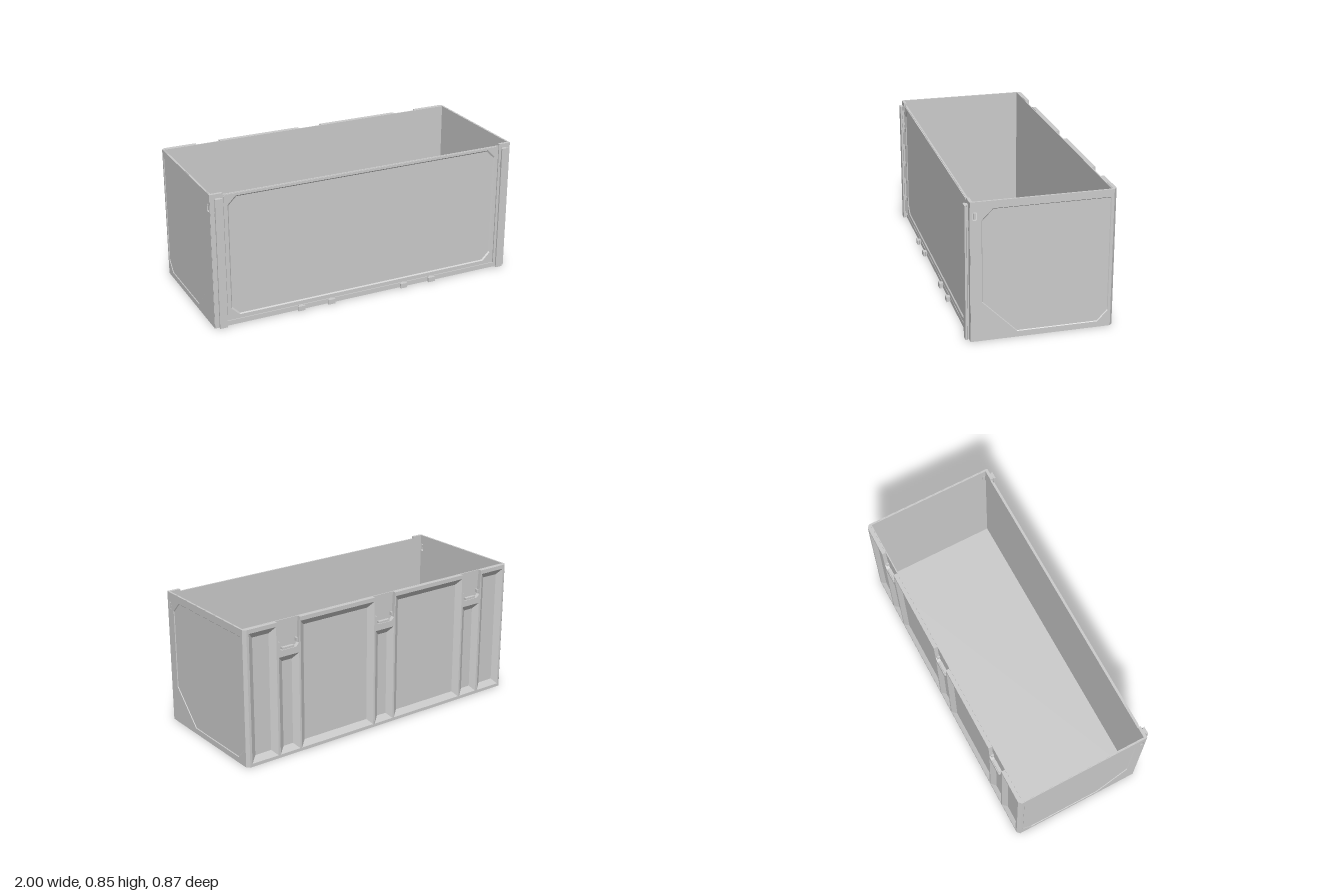
import * as THREE from 'three';

const H = 0.845;
const mat = new THREE.MeshStandardMaterial({ color: 0xcccccc, flatShading: true });
const v2 = (p) => p.map(([x, y]) => new THREE.Vector2(x, y));

function add(parent, name, geometry, x = 0, y = 0, z = 0) {
  const mesh = new THREE.Mesh(geometry, mat);
  mesh.name = name;
  mesh.position.set(x, y, z);
  parent.add(mesh);
  return mesh;
}

// Box given by its limits
function slab(parent, name, x0, x1, y0, y1, z0, z1) {
  return add(parent, name, new THREE.BoxGeometry(x1 - x0, y1 - y0, z1 - z0),
    (x0 + x1) / 2, (y0 + y1) / 2, (z0 + z1) / 2);
}

// Rectangle with its corners cut by c
function cutRect(x0, x1, y0, y1, c = 0) {
  if (!c) return [[x0, y0], [x1, y0], [x1, y1], [x0, y1]];
  return [[x0 + c, y0], [x1 - c, y0], [x1, y0 + c], [x1, y1 - c],
    [x1 - c, y1], [x0 + c, y1], [x0, y1 - c], [x0, y0 + c]];
}

// Sunken panel: sloping rim from the outline down to a flat floor
function pan(outline, bevel, depth) {
  let pts = v2(outline);
  if (THREE.ShapeUtils.isClockWise(pts)) pts = pts.reverse();
  const box = new THREE.Box2().setFromPoints(pts);
  const c = box.getCenter(new THREE.Vector2());
  const s = box.getSize(new THREE.Vector2());
  const inner = pts.map((p) => new THREE.Vector2(
    c.x + (p.x - c.x) * (1 - 2 * bevel / s.x), c.y + (p.y - c.y) * (1 - 2 * bevel / s.y)));
  const pos = [];
  pts.forEach((a, i) => {
    const j = (i + 1) % pts.length, b = pts[j], p = inner[i], q = inner[j];
    pos.push(a.x, a.y, 0, b.x, b.y, 0, q.x, q.y, -depth);
    pos.push(a.x, a.y, 0, q.x, q.y, -depth, p.x, p.y, -depth);
  });
  for (const [i, j, k] of THREE.ShapeUtils.triangulateShape(inner, [])) {
    for (const n of [i, j, k]) pos.push(inner[n].x, inner[n].y, -depth);
  }
  const g = new THREE.BufferGeometry();
  g.setAttribute('position', new THREE.Float32BufferAttribute(pos, 3));
  g.computeVertexNormals();
  return g;
}

// Wall with its outer face on local z = 0: pierced skin, backing sheet and sunken panels
function wall(name, outline, pans, { bevel, depth, thick, backing = outline, slots = [] }) {
  const group = new THREE.Group();
  group.name = name;
  const layer = (label, contour, holes, t, z) => {
    const shape = new THREE.Shape(v2(contour));
    shape.holes = holes.map((h) => new THREE.Path(v2(h)));
    add(group, label, new THREE.ExtrudeGeometry(shape, { depth: t, bevelEnabled: false }), 0, 0, z);
  };
  layer('outerSkin', outline, [...pans, ...slots], depth, -depth);
  layer('backing', backing, slots, thick - depth - 0.0005, -thick);
  pans.forEach((p) => add(group, 'sunkenPanel', pan(p, bevel, depth)));
  return group;
}

// Upright bar, wider on its outer side
function dovetail(parent, name, x, height) {
  const shape = new THREE.Shape(v2([[-0.014, -0.408], [-0.014, -0.42], [-0.023, -0.424],
    [-0.023, -0.435], [0.023, -0.435], [0.023, -0.424], [0.014, -0.42], [0.014, -0.408]]));
  const g = new THREE.ExtrudeGeometry(shape, { depth: height, bevelEnabled: false });
  g.rotateX(-Math.PI / 2);
  return add(parent, name, g, x, 0.003, 0);
}

function createModel() {
  const model = new THREE.Group();
  model.name = 'openContainer';
  slab(model, 'floor', -0.99, 0.99, 0, 0.02, -0.425, 0.405);

  // Side walls with an outlined panel and a hand slot
  for (const s of [1, -1]) {
    const flip = (pts) => pts.map(([z, y]) => [-s * z, y]);
    const panel = flip([[0.28, 0.8], [-0.402, 0.8], [-0.402, 0.1], [-0.34, 0.035],
      [0.14, 0.035], [0.345, 0.24], [0.345, 0.735]]);
    const slot = flip(cutRect(0.37, 0.396, 0.735, 0.785, 0.005));
    const side = wall(s > 0 ? 'leftWall' : 'rightWall', flip(cutRect(-0.418, 0.41, 0, H)), [panel],
      { bevel: 0.004, depth: 0.004, thick: 0.012, slots: [slot] });
    side.position.x = s;
    side.rotation.y = s * Math.PI / 2;
    model.add(side);
    slab(model, 'slotBar', s * 0.994 - 0.003, s * 0.994 + 0.003, 0.742, 0.778, 0.376, 0.39);

    // Chamfered rear corner
    const corner = new THREE.Shape(v2([[s * 0.982, 0.404], [s, 0.404], [s, 0.418], [s * 0.982, 0.435]]));
    const cg = new THREE.ExtrudeGeometry(corner, { depth: H, bevelEnabled: false });
    cg.rotateX(-Math.PI / 2);
    cg.scale(1, 1, 1);
    add(model, 'rearCorner', cg);
  }

  // Rear wall: bays between ribs, with hinge pockets open at the top
  const pockets = [-0.7, 0, 0.7];
  const top = [];
  for (const x of [...pockets].reverse()) {
    top.push([x + 0.078, H], [x + 0.07, 0.69], [x + 0.05, 0.67],
      [x - 0.05, 0.67], [x - 0.07, 0.69], [x - 0.078, H]);
  }
  const bays = [cutRect(-0.967, -0.785, 0.02, 0.82), cutRect(0.785, 0.967, 0.02, 0.82),
    cutRect(-0.618, -0.082, 0.02, 0.82), cutRect(0.082, 0.618, 0.02, 0.82),
    ...pockets.map((x) => cutRect(x - 0.07, x + 0.07, 0.02, 0.63))];
  const rear = wall('rearWall', [[-0.982, 0], [0.982, 0], [0.982, H], ...top, [-0.982, H]], bays,
    { bevel: 0.036, depth: 0.024, thick: 0.031, backing: cutRect(-0.982, 0.982, 0, H) });
  rear.rotation.y = Math.PI;
  rear.position.z = -0.435;
  model.add(rear);
  for (const x of pockets) {
    slab(model, 'hingeSill', x - 0.04, x + 0.04, 0.67, 0.682, -0.43, -0.41);
    for (const s of [1, -1]) slab(model, 'hingeLug', x + s * 0.062 - 0.006, x + s * 0.062 + 0.006, 0.7, 0.72, -0.428, -0.41);
  }

  // Front wall, slightly lower than the corner posts
  const front = wall('frontWall', cutRect(-0.915, 0.915, 0.035, 0.83, 0.012),
    [cutRect(-0.892, 0.892, 0.058, 0.815, 0.05)], { bevel: 0.008, depth: 0.007, thick: 0.014 });
  front.position.z = 0.41;
  model.add(front);
  slab(model, 'frontFrame', -0.92, 0.92, 0, 0.832, 0.394, 0.404);
  slab(model, 'frontSill', -0.92, 0.92, 0, 0.03, 0.394, 0.41);

  // Corner posts, locking bars and lower catches
  for (const s of [1, -1]) {
    slab(model, 'frontPost', s * 0.959 - 0.039, s * 0.959 + 0.039, 0, H, 0.394, 0.412);
    dovetail(model, 'lockingBar', s * 0.952, 0.817);
    slab(model, 'barCatch', s * 0.952 - 0.02, s * 0.952 + 0.02, 0.69, 0.73, 0.41, 0.433);
    for (const x of [0.25, 0.45]) dovetail(model, 'lowerCatch', s * x, 0.03);
  }
  return model;
}

export { createModel };
